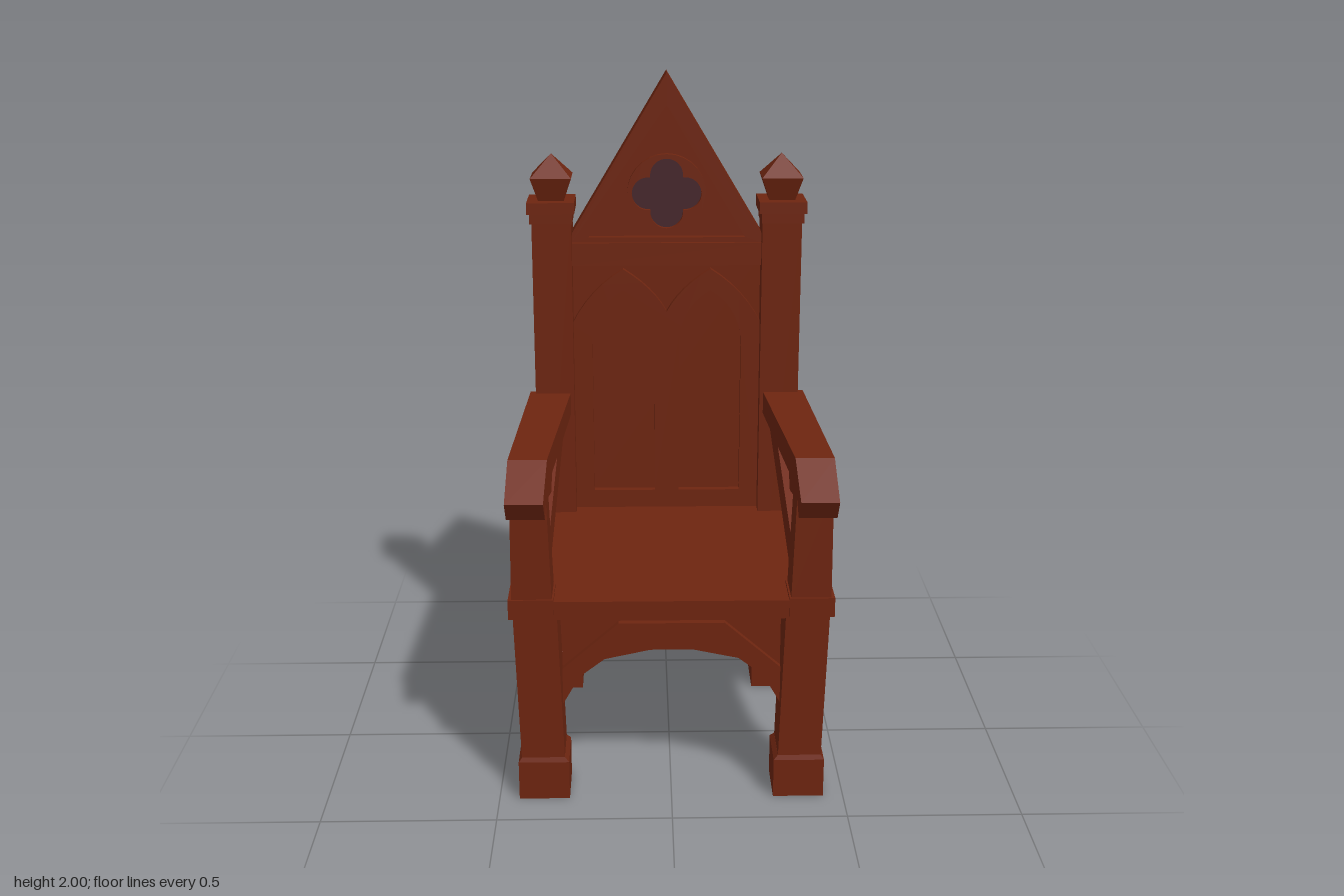
import * as THREE from 'three';

export function createModel() {
  const root = new THREE.Group();
  const wood = new THREE.MeshStandardMaterial({ color: 0x6e2510 });
  wood.name = 'redBrownWood';
  const dark = new THREE.MeshStandardMaterial({ color: 0x46262b });
  dark.name = 'darkPlumInlay';

  const add = (name, geo, mat = wood) => {
    const m = new THREE.Mesh(geo, mat);
    m.name = name;
    root.add(m);
    return m;
  };

  // Box given by its ranges; s mirrors it across x
  const box = (name, x0, x1, y0, y1, z0, z1, s = 1) => add(name,
    new THREE.BoxGeometry(x1 - x0, y1 - y0, z1 - z0)
      .translate(s * (x0 + x1) / 2, (y0 + y1) / 2, (z0 + z1) / 2));

  // Tapered block: ranges [x0, x1, z0, z1] at the bottom and the top
  const taper = (name, y0, y1, lo, hi, s = 1) => {
    const g = new THREE.BoxGeometry(1, 1, 1).toNonIndexed();
    const p = g.attributes.position;
    for (let i = 0; i < p.count; i++) {
      const up = p.getY(i) > 0;
      const [x0, x1, z0, z1] = up ? hi : lo;
      const outer = p.getX(i) * s > 0;
      p.setXYZ(i, s * (outer ? x1 : x0), up ? y1 : y0, p.getZ(i) > 0 ? z1 : z0);
    }
    g.computeVertexNormals();
    return add(name, g);
  };

  const shape = (pts) => new THREE.Shape(pts.map(([x, y]) => new THREE.Vector2(x, y)));
  const extrude = (sh, depth) => new THREE.ExtrudeGeometry(sh, { depth, bevelEnabled: false, curveSegments: 6 });
  // Plate in the xy plane between two z values
  const plate = (name, sh, z0, z1) => add(name, extrude(sh, z1 - z0).translate(0, 0, z0));
  // Plate in the zy plane, centred on x = 0
  const sidePlate = (sh, t) => extrude(sh, t).rotateY(-Math.PI / 2).translate(t / 2, 0, 0);
  const mirrorPts = (half) => [...half, ...half.map(([x, y]) => [-x, y]).reverse()];

  for (const s of [-1, 1]) {
    // Rear posts, feet, collars and finials
    box('rearPost', 0.29, 0.41, 0.12, 1.585, -0.44, -0.31, s);
    box('rearFoot', 0.28, 0.425, 0, 0.118, -0.455, -0.302, s);
    taper('rearFootChamfer', 0.118, 0.132, [0.28, 0.425, -0.455, -0.302], [0.29, 0.41, -0.44, -0.31], s);
    box('postLowerCollar', 0.287, 0.416, 1.555, 1.585, -0.446, -0.305, s);
    box('postUpperCollar', 0.28, 0.424, 1.585, 1.62, -0.458, -0.302, s);
    taper('finialBase', 1.62, 1.69, [0.312, 0.39, -0.42, -0.34], [0.288, 0.412, -0.442, -0.318], s);
    const tip = new THREE.CylinderGeometry(0, 0.062 * Math.SQRT2, 0.068, 4, 1, true).toNonIndexed();
    tip.rotateY(Math.PI / 4).translate(s * 0.35, 1.724, -0.38);
    tip.computeVertexNormals();
    add('finialTip', tip);

    // Front legs, feet, seat collars and arm posts
    box('frontFoot', 0.296, 0.442, 0, 0.118, 0.24, 0.387, s);
    taper('frontFootChamfer', 0.118, 0.132, [0.296, 0.442, 0.24, 0.387], [0.308, 0.432, 0.25, 0.382], s);
    taper('frontLeg', 0.12, 0.58, [0.308, 0.432, 0.25, 0.382], [0.322, 0.446, 0.24, 0.382], s);
    box('seatCollar', 0.33, 0.458, 0.572, 0.63, 0.26, 0.39, s);
    taper('armPost', 0.625, 0.95, [0.335, 0.448, 0.262, 0.384], [0.345, 0.445, 0.28, 0.384], s);

    // Armrest and diagonal brace, both splayed outward toward the front
    const splay = (name, pts, t) => {
      const g = sidePlate(shape(pts), t);
      const p = g.attributes.position;
      for (let i = 0; i < p.count; i++) {
        const z = p.getZ(i);
        p.setX(i, p.getX(i) * (1 - 0.24 * z) + s * (0.379 + 0.046 * z));
      }
      g.computeVertexNormals();
      add(name, g);
    };
    splay('armrest', [[-0.335, 1.02], [-0.335, 0.952], [0.235, 0.952], [0.26, 0.905], [0.39, 0.925],
      [0.425, 0.885], [0.46, 0.942], [0.345, 1.03]], 0.118);
    splay('armBrace', [[0.275, 0.625], [0.275, 0.672], [-0.22, 0.957], [-0.32, 0.957], [-0.32, 0.91], [0.175, 0.625]], 0.075);
  }

  // Seat slab, slightly wider at the front
  taper('seat', 0.567, 0.622, [-0.44, 0.44, -0.44, 0.384], [-0.44, 0.44, -0.44, 0.384]);
  for (const s of [-1, 1]) {
    taper('seatSideRail', 0.565, 0.627, [0.4, 0.441, -0.44, -0.3], [0.4, 0.441, -0.44, -0.3], s);
    box('seatSideRailFront', 0.41, 0.448, 0.565, 0.627, -0.31, 0.27, s);
  }

  // Arched aprons: thin spandrel plate with a thicker arch band
  const frontArch = [[0.31, 0.3], [0.262, 0.385], [0.19, 0.44], [0.06, 0.468]];
  const sideArch = [[0.285, 0.305], [0.175, 0.39], [0.08, 0.438]];
  const apron = (arch, shoulder) => {
    const w = arch[0][0];
    const lower = mirrorPts(arch);
    const upper = mirrorPts([[w, shoulder[0]], [shoulder[1], 0.55]]).reverse();
    return { spandrel: shape([...lower, [-w, 0.57], [w, 0.57]]), band: shape([...lower, ...upper]) };
  };
  const across = apron(frontArch, [0.41, 0.15]);
  plate('frontSpandrel', across.spandrel, 0.31, 0.355);
  plate('frontArchBand', across.band, 0.31, 0.374);
  plate('rearSpandrel', across.spandrel, -0.41, -0.36);
  plate('rearArchBand', across.band, -0.428, -0.36);
  const along = apron(sideArch, [0.395, 0.05]);
  for (const s of [-1, 1]) {
    for (const [name, sh, outer] of [['sideSpandrel', along.spandrel, 0.405], ['sideArchBand', along.band, 0.422]]) {
      const t = outer - 0.36;
      add(name, sidePlate(sh, t).translate(s * (outer - t / 2), 0, -0.025));
    }
  }

  // Groined vault under the seat, following both arch profiles
  const height = (arch, u) => {
    const a = Math.abs(u);
    if (a >= arch[0][0]) return arch[0][1];
    for (let i = 1; i < arch.length; i++) {
      const [x0, y0] = arch[i - 1], [x1, y1] = arch[i];
      if (a >= x1) return y1 + (y0 - y1) * (a - x1) / (x0 - x1);
    }
    return arch[arch.length - 1][1];
  };
  const vault = new THREE.PlaneGeometry(0.74, 0.7, 36, 36).rotateX(Math.PI / 2);
  const vp = vault.attributes.position;
  for (let i = 0; i < vp.count; i++) {
    const z = vp.getZ(i);
    vp.setY(i, Math.max(height(frontArch, vp.getX(i)), height(sideArch, z)) + 0.002);
  }
  vault.translate(0, 0, -0.025);
  vault.computeVertexNormals();
  add('underSeatVault', vault);

  // Backrest: field, arched frame with two lancet openings, rails
  box('backField', -0.295, 0.295, 0.6, 1.45, -0.41, -0.378);
  const c = 0.135;
  const frame = new THREE.Shape();
  frame.moveTo(-0.295, 0.62);
  frame.lineTo(0.295, 0.62);
  frame.lineTo(0.295, 1.23);
  frame.quadraticCurveTo(0.24, 1.34, c, 1.405);
  frame.quadraticCurveTo(0.04, 1.345, 0, 1.27);
  frame.quadraticCurveTo(-0.04, 1.345, -c, 1.405);
  frame.quadraticCurveTo(-0.24, 1.34, -0.295, 1.23);
  const lancet = (m, w, y0, spring, apex) => {
    const h = new THREE.Path();
    h.moveTo(m - w, y0);
    h.lineTo(m + w, y0);
    h.lineTo(m + w, spring);
    h.quadraticCurveTo(m + w * 0.82, spring + (apex - spring) * 0.68, m, apex);
    h.quadraticCurveTo(m - w * 0.82, spring + (apex - spring) * 0.68, m - w, spring);
    return h;
  };
  frame.holes.push(lancet(-c, 0.097, 0.68, 1.19, 1.338), lancet(c, 0.097, 0.68, 1.19, 1.338));
  plate('lancetFrame', frame, -0.428, -0.355);
  box('backTopRail', -0.295, 0.295, 1.42, 1.49, -0.438, -0.338);

  // Gable: raised triangular rim around a recessed panel
  const gable = shape([[-0.295, 1.485], [0.295, 1.485], [0.295, 1.51], [0, 2], [-0.295, 1.51]]);
  const inner = [[-0.24, 1.505], [0.24, 1.505], [0, 1.905]];
  gable.holes.push(new THREE.Path(inner.map(([x, y]) => new THREE.Vector2(x, y))));
  plate('gableRim', gable, -0.44, -0.35);
  plate('gablePanel', shape([[-0.25, 1.49], [0.25, 1.49], [0, 1.92]]), -0.422, -0.378);

  // Round boss with a four-lobed opening over a dark inlay
  const boss = new THREE.Shape().absarc(0, 0, 0.12, 0, Math.PI * 2);
  const lobes = new THREE.Path();
  for (let k = 0; k < 4; k++) {
    const a = k * Math.PI / 2;
    lobes.absarc(0.056 * Math.cos(a), 0.056 * Math.sin(a), 0.05, a - 1.67, a + 1.67);
  }
  boss.holes.push(lobes);
  const bossGeo = new THREE.ExtrudeGeometry(boss, { depth: 0.024, bevelEnabled: false, curveSegments: 14 });
  add('quatrefoilBoss', bossGeo.translate(0, 1.638, -0.38));
  add('quatrefoilInlay', new THREE.CircleGeometry(0.112, 24).translate(0, 1.638, -0.374), dark);

  return root;
}
